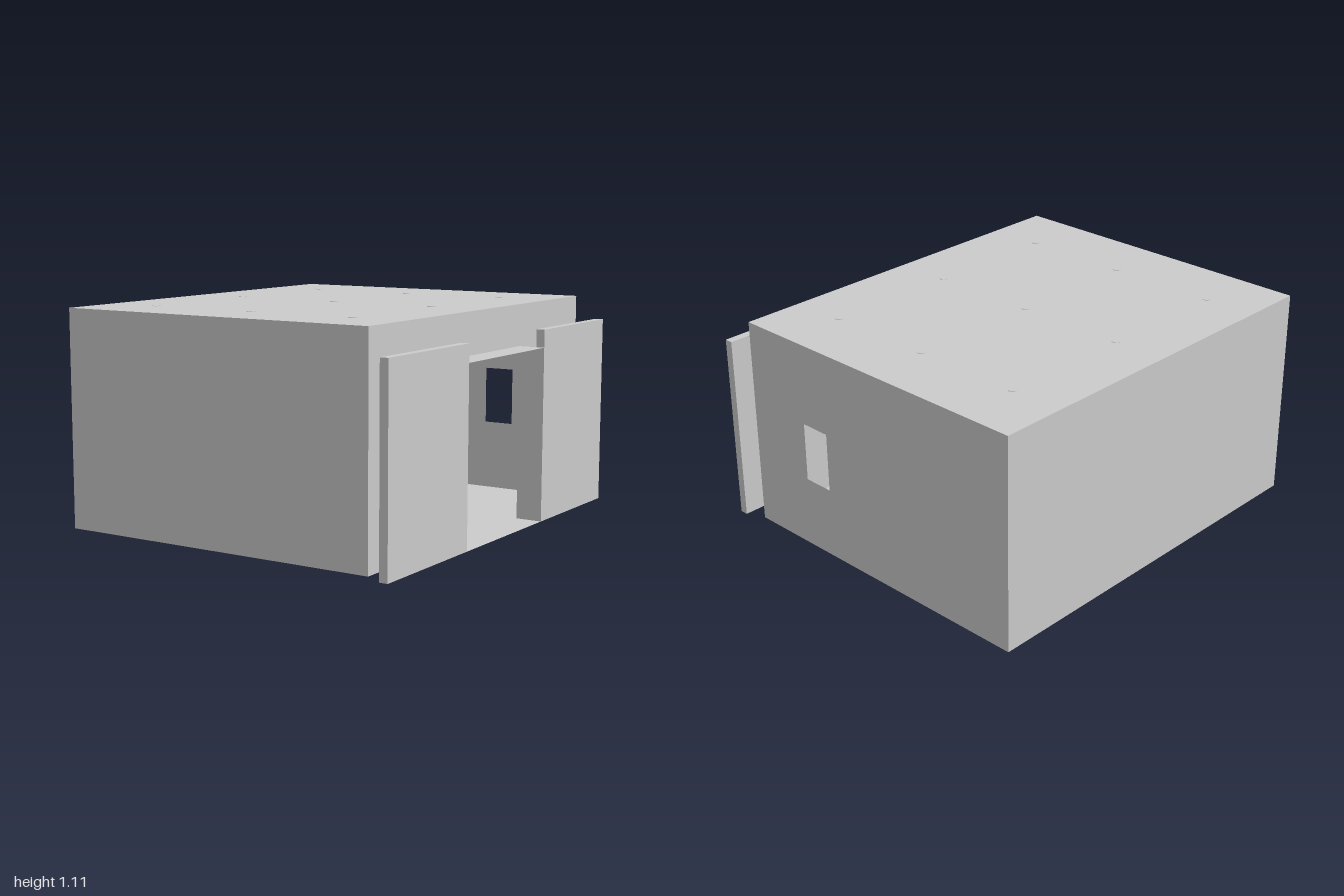
import * as THREE from 'three';

const material = new THREE.MeshStandardMaterial({ color: 0xcccccc, side: THREE.DoubleSide });

// Overall limits of the room, and the doorway that opens in its +x wall
const X0 = -0.86, X1 = 0.73, Y0 = 0.1, Y1 = 1.11, Z0 = -0.96, Z1 = 0.945;
const DOOR_Z = 0.355, DOOR_TOP = 0.915, OUTER_X = 0.857;

function add(parent, name, geometry) {
  const mesh = new THREE.Mesh(geometry, material);
  mesh.name = name;
  parent.add(mesh);
  return mesh;
}

// Flat rectangle in the xy plane with an optional rectangular hole
function sheet(u0, u1, v0, v1, hole) {
  const corners = (a, b, c, d) => [[a, c], [b, c], [b, d], [a, d]].map(([x, y]) => new THREE.Vector2(x, y));
  const shape = new THREE.Shape(corners(u0, u1, v0, v1));
  if (hole) shape.holes.push(new THREE.Path(corners(...hole).reverse()));
  return new THREE.ShapeGeometry(shape);
}

// Sheets facing along each axis; the ranges are given in world coordinates
const sheetZ = (z, x0, x1, y0, y1, hole) => sheet(x0, x1, y0, y1, hole).translate(0, 0, z);
const sheetX = (x, z0, z1, y0, y1, hole) => sheet(-z1, -z0, y0, y1, hole).rotateY(Math.PI / 2).translate(x, 0, 0);
const sheetY = (y, x0, x1, z0, z1) => sheet(x0, x1, -z1, -z0).rotateX(-Math.PI / 2).translate(0, y, 0);

function box(x0, x1, y0, y1, z0, z1) {
  return new THREE.BoxGeometry(x1 - x0, y1 - y0, z1 - z0)
    .translate((x0 + x1) / 2, (y0 + y1) / 2, (z0 + z1) / 2);
}

export function createModel() {
  const model = new THREE.Group();
  model.name = 'room';

  // Thin-walled hollow room
  const shell = new THREE.Group();
  shell.name = 'shell';
  model.add(shell);
  add(shell, 'floor', sheetY(Y0, X0, X1, Z0, Z1));
  add(shell, 'roof', sheetY(Y1, X0, X1, Z0, Z1));
  add(shell, 'frontWall', sheetZ(Z1, X0, X1, Y0, Y1));
  add(shell, 'backWallWithWindow', sheetZ(Z0, X0, X1, Y0, Y1, [0.235, 0.385, 0.44, 0.72]));
  add(shell, 'rightWall', sheetX(X0, Z0, Z1, Y0, Y1));
  // The wall is outlined around the doorway, which reaches the floor
  add(shell, 'doorWallFront', sheetX(X1, DOOR_Z, Z1, Y0, Y1));
  add(shell, 'doorWallBack', sheetX(X1, Z0, -DOOR_Z, Y0, Y1));
  add(shell, 'doorLintel', sheetX(X1, -DOOR_Z, DOOR_Z, DOOR_TOP, Y1));

  // Short entrance passage, open at both ends
  const passage = new THREE.Group();
  passage.name = 'entrancePassage';
  model.add(passage);
  add(passage, 'passageFloor', sheetY(Y0, X1, OUTER_X, -DOOR_Z, DOOR_Z));
  add(passage, 'passageRoof', sheetY(DOOR_TOP, X1, OUTER_X, -DOOR_Z, DOOR_Z));

  for (const [side, s] of [['Front', 1], ['Back', -1]]) {
    add(passage, 'passageWall' + side, sheetZ(s * DOOR_Z, X1, OUTER_X, Y0, DOOR_TOP));
    // Sliding door panel, slid open
    const z = [s * DOOR_Z, s].sort((a, b) => a - b);
    add(model, 'slidingDoor' + side, box(0.817, OUTER_X, Y0, 0.998, ...z));
  }

  // Open square skirt under the floor
  const skirt = new THREE.Group();
  skirt.name = 'floorSkirt';
  model.add(skirt);
  for (const z of [-0.31, 0.31]) add(skirt, 'skirtSide', sheetZ(z, -0.325, 0.2, 0, Y0));
  for (const x of [-0.325, 0.2]) add(skirt, 'skirtEnd', sheetX(x, -0.31, 0.31, 0, Y0));

  // Three by three ceiling lamps, just breaking through the roof
  const lamp = new THREE.CylinderGeometry(0.02, 0.02, 0.02, 12);
  for (const x of [-0.6, -0.065, 0.465]) {
    for (const z of [-0.655, 0, 0.65]) {
      add(model, 'ceilingLamp', lamp).position.set(x, Y1 - 0.008, z);
    }
  }
  return model;
}
